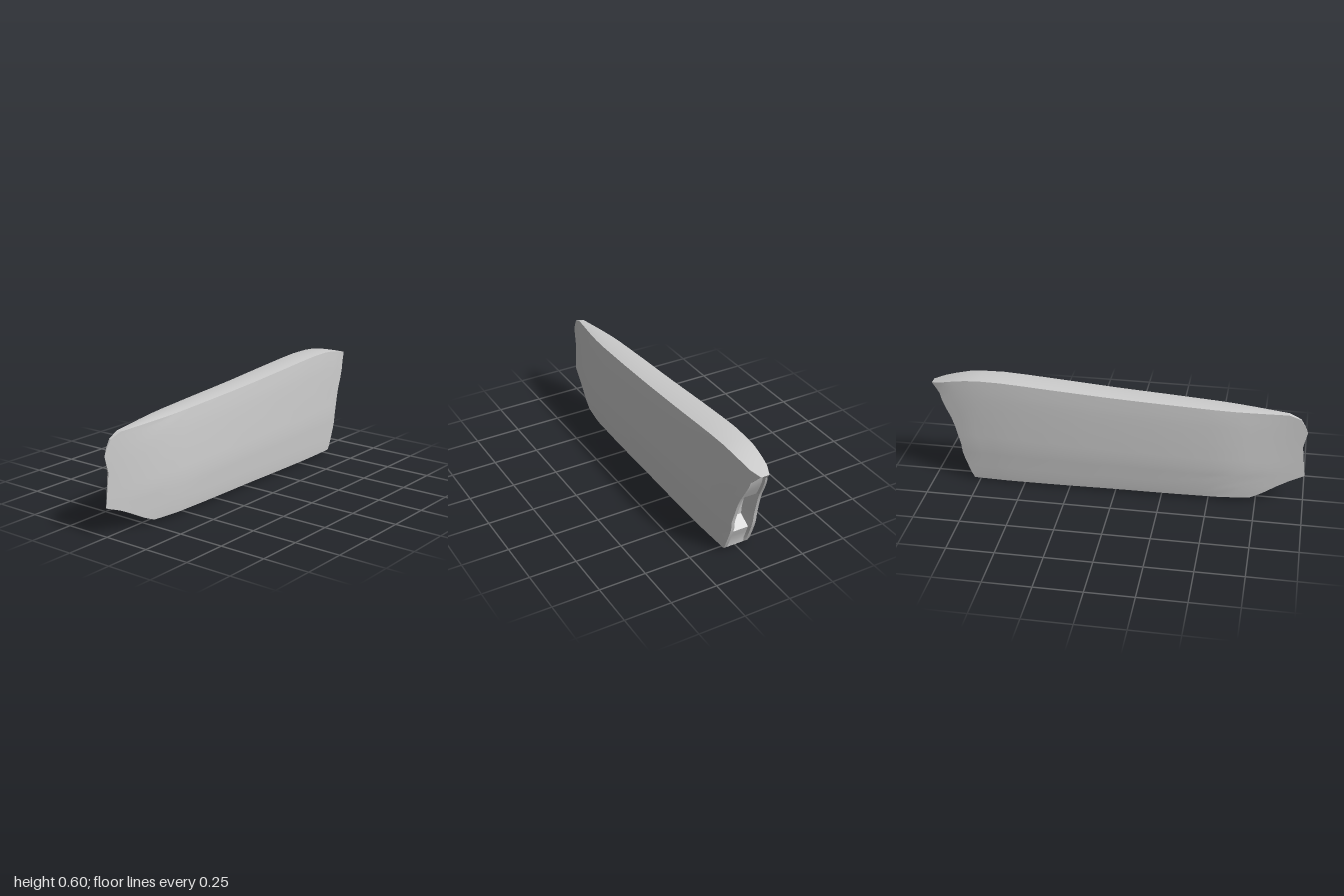
import * as THREE from 'three';
import { toCreasedNormals } from 'three/addons/utils/BufferGeometryUtils.js';

// Piecewise linear lookup through [key, value] pairs.
function lookup(table, k) {
  if (k <= table[0][0]) return table[0][1];
  for (let i = 1; i < table.length; i++) {
    const [k0, v0] = table[i - 1], [k1, v1] = table[i];
    if (k <= k1) return v0 + (v1 - v0) * (k - k0) / (k1 - k0);
  }
  return table[table.length - 1][1];
}

// Side outline: end positions by height fraction, top and bottom by z.
const FRONT_Z = [[0, 0.72], [0.05, 0.78], [0.14, 0.86], [0.2, 0.92], [0.27, 1], [0.63, 0.98], [0.82, 1], [0.89, 0.985], [0.96, 0.96], [1, 0.9]];
const BACK_Z = [[0, -0.78], [0.05, -0.795], [0.25, -0.84], [0.35, -0.845], [0.6, -0.885], [0.8, -0.94], [0.9, -0.955], [1, -1]];
const TOP_Y = [[-1, 0.55], [-0.9, 0.575], [-0.78, 0.597], [-0.6, 0.597], [0, 0.555], [0.9, 0.508], [0.96, 0.502], [1, 0.492]];
const BOTTOM_Y = [[-0.8, 0.01], [-0.5, 0.012], [0, 0.018], [0.75, 0.02]];
// Half thickness by height, and how it tapers along z.
const HALF = [[0, 0.083], [0.05, 0.086], [0.35, 0.092], [0.6, 0.085], [0.85, 0.076], [1, 0.066]];
const TAPER = [[-1, 0.3], [-0.97, 0.5], [-0.93, 0.65], [-0.8, 0.85], [-0.6, 0.96], [-0.3, 1], [0.3, 0.98], [0.58, 0.9], [0.72, 0.66], [0.85, 0.36], [1, 0]];

const LEVELS = [0, 0.05, 0.14, 0.2, 0.27, 0.35, 0.45, 0.55, 0.63, 0.72, 0.82, 0.89, 0.96, 1];
const STATIONS = [0, 0.03, 0.06, 0.1, 0.15, 0.2, 0.26, 0.34, 0.42, 0.5, 0.58, 0.66, 0.74, 0.8, 0.86, 0.9, 0.94, 0.97, 1];

// Point at station s (0 front, 1 back), level t (0 bottom, 1 top), side u (-1..1).
function hullPoint(s, t, u) {
  const z = THREE.MathUtils.lerp(lookup(FRONT_Z, t), lookup(BACK_Z, t), s);
  const y = THREE.MathUtils.lerp(lookup(BOTTOM_Y, z), lookup(TOP_Y, z), t);
  const half = lookup(HALF, t) * lookup(TAPER, z) * (1 - 0.18 * t * t * z);
  return new THREE.Vector3(u * half, y, z);
}

// Surface from a grid of points.
function gridMesh(name, rows, crease) {
  const pos = rows.flat().flatMap(p => [p.x, p.y, p.z]);
  const n = rows[0].length, index = [];
  for (let i = 0; i < rows.length - 1; i++) {
    for (let j = 0; j < n - 1; j++) {
      const a = i * n + j, b = a + n;
      index.push(a, b, b + 1, a, b + 1, a + 1);
    }
  }
  const geo = new THREE.BufferGeometry();
  geo.setAttribute('position', new THREE.Float32BufferAttribute(pos, 3));
  geo.setIndex(index);
  const mesh = new THREE.Mesh(
    toCreasedNormals(geo, crease),
    new THREE.MeshStandardMaterial({ color: 0xcccccc, side: THREE.DoubleSide })
  );
  mesh.name = name;
  return mesh;
}

export function createModel() {
  const group = new THREE.Group();
  group.name = 'slab';

  // Closed shell: up the left side, over the top, down the right, under the bottom.
  const across = [0.75, 0.4, 0, -0.4, -0.75];
  const shell = STATIONS.map(s => {
    const crown = Math.min(1, 3 * Math.sin(Math.PI * s));
    const cross = (t, u, rise) => {
      const p = hullPoint(s, t, u);
      p.y += rise * crown * (1 - u * u);
      return p;
    };
    return [
      ...LEVELS.map(t => hullPoint(s, t, 1)),
      ...across.map(u => cross(1, u, 0.005)),
      ...[...LEVELS].reverse().map(t => hullPoint(s, t, -1)),
      ...across.map(u => cross(0, -u, -0.011)),
      hullPoint(s, 0, 1)
    ];
  });
  group.add(gridMesh('shell', shell, 0.55));

  // Blunt chamfer below the sharp front edge.
  const front = [-1, 0, 1].map(u => LEVELS.map(t => hullPoint(0, t, u)));
  group.add(gridMesh('frontEdge', front, 0.3));

  // Rough back end with a hollow in its lower middle.
  const back = [1, 0.75, 0.6, 0, -0.6, -0.75, -1].map(u => LEVELS.map(t => {
    const p = hullPoint(1, t, u);
    if (Math.abs(u) < 0.7) p.z += t > 0.25 && t < 0.6 ? 0.09 : (t > 0 && t < 1 ? 0.012 : 0);
    return p;
  }));
  group.add(gridMesh('backEnd', back, 0.3));

  return group;
}
